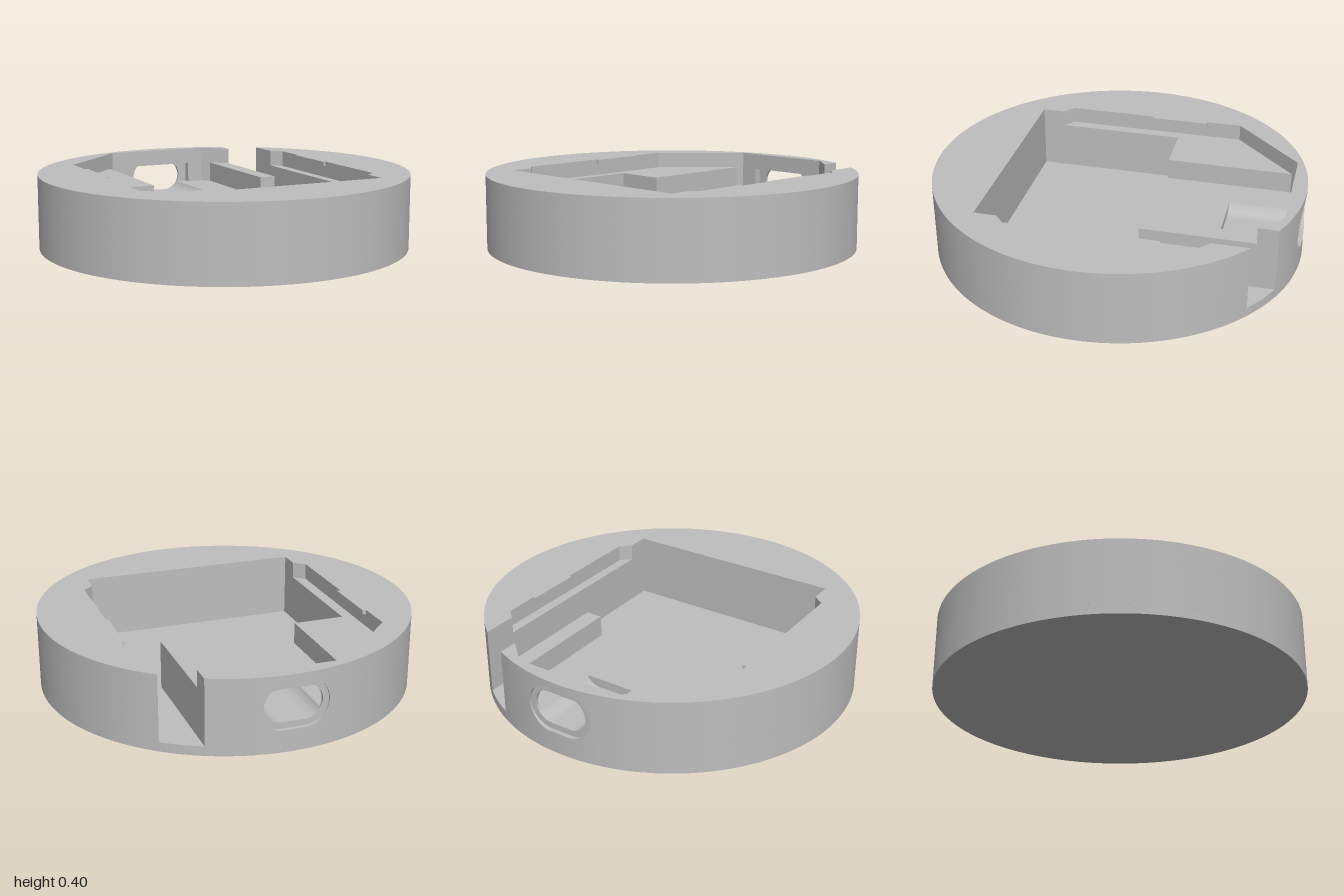
import * as THREE from 'three';
import { toCreasedNormals } from 'three/addons/utils/BufferGeometryUtils.js';

const FLOOR = 0.05, DECK = 0.195, LEDGE = 0.31, TOP = 0.4; // levels in y
const PORT_Y = 0.237, PORT_W = 0.2; // port centre height, half width of the port section
const BACK = -0.92, RECESS = -0.96, BORE = -0.975; // z steps through the back wall

// angle on the rim (seen from above) of a point at x on the back edge
const backAngle = (x) => Math.acos(x);

// rim points between two angles, as [x, z]
function rim(a, b) {
  const n = Math.max(4, Math.ceil(Math.abs(b - a) / 0.045));
  return Array.from({ length: n + 1 }, (_, i) => {
    const t = a + (b - a) * i / n;
    return [Math.cos(t), -Math.sin(t)];
  });
}

// stadium outline of half straight length s and radius r
function stadium(s, r, Type = THREE.Path) {
  const p = new Type();
  p.absarc(s, PORT_Y, r, -Math.PI / 2, Math.PI / 2, false);
  p.absarc(-s, PORT_Y, r, Math.PI / 2, Math.PI * 1.5, false);
  p.closePath();
  return p;
}

export function createModel() {
  const group = new THREE.Group();
  const grey = new THREE.MeshStandardMaterial({ color: 0xbebebe });
  grey.name = 'grey plastic';

  const add = (name, geometry) => {
    const mesh = new THREE.Mesh(geometry, grey);
    mesh.name = name;
    group.add(mesh);
  };

  // horizontal slab from an [x, z] outline
  const slab = (name, points, y0, y1) => {
    const shape = new THREE.Shape(points.map(([x, z]) => new THREE.Vector2(x, -z)));
    const g = new THREE.ExtrudeGeometry(shape, { depth: y1 - y0, bevelEnabled: false });
    g.rotateX(-Math.PI / 2).translate(0, y0, 0);
    add(name, toCreasedNormals(g, 0.5));
  };

  // upright section extruded along z
  const section = (shape, z0, z1) => new THREE.ExtrudeGeometry(shape, {
    depth: z1 - z0, bevelEnabled: false, curveSegments: 20,
  }).translate(0, 0, z0);

  const box = (name, x0, x1, y0, y1, z0, z1) => add(name,
    new THREE.BoxGeometry(x1 - x0, y1 - y0, z1 - z0)
      .translate((x0 + x1) / 2, (y0 + y1) / 2, (z0 + z1) / 2));

  // rim runs: the long way round the front, and the short one beside the channel
  const longRim = rim(backAngle(0.61), backAngle(-PORT_W) - Math.PI * 2);
  const shortRim = rim(backAngle(PORT_W), backAngle(0.42));
  const pocketFront = [[-0.61, -0.2], [-0.61, 0.61], [0.61, 0.61]];

  // floor
  add('floor', new THREE.CylinderGeometry(1, 1, FLOOR, 144).translate(0, FLOOR / 2, 0));

  // lower body with deep pocket, cable channel and deck
  slab('lowerBody', [...longRim, [-PORT_W, -0.58], [PORT_W, -0.58], ...shortRim,
    [0.42, -0.2], ...pocketFront], FLOOR, DECK);

  // middle body with the side rails
  slab('middleBody', [...longRim, [-PORT_W, BACK], [-0.3, BACK], [-0.33, -0.89],
    [-0.33, -0.2], ...pocketFront], DECK, LEDGE);
  slab('channelRail', [...shortRim, [0.42, -0.2], [0.33, -0.2], [0.33, -0.88],
    [0.29, BACK], [PORT_W, BACK]], DECK, LEDGE);

  // upper body around the wide board seat
  slab('upperBody', [...longRim, [-PORT_W, BACK], [-0.3, BACK], [-0.67, -0.55],
    [-0.67, 0.44], [-0.61, 0.49], [-0.61, 0.61], [0.61, 0.61], [0.61, 0.49],
    [0.665, 0.44], [0.665, -0.55], [0.61, -0.6]], LEDGE, TOP);
  slab('channelCorner', [...shortRim, [0.42, -0.8], [0.29, BACK], [PORT_W, BACK]], LEDGE, TOP);

  // snap tabs on both long walls
  box('rightSnapTab', -0.675, -0.65, 0.375, TOP, -0.36, -0.04);
  box('leftSnapTab', 0.65, 0.67, 0.375, TOP, -0.36, -0.04);

  // plug trough sunk into the deck
  const s = 0.06, r = 0.09;
  const a = Math.asin((DECK - PORT_Y) / r);
  const trough = new THREE.Shape();
  trough.moveTo(-PORT_W, FLOOR);
  trough.lineTo(PORT_W, FLOOR);
  trough.lineTo(PORT_W, DECK);
  trough.absarc(s, PORT_Y, r, a, -Math.PI / 2, true);
  trough.absarc(-s, PORT_Y, r, -Math.PI / 2, -Math.PI - a, true);
  trough.lineTo(-PORT_W, DECK);
  add('plugTrough', toCreasedNormals(section(trough, RECESS, -0.58), 0.5));

  // wall above the connector recess
  box('recessLintel', -PORT_W, PORT_W, LEDGE, TOP, RECESS, BACK);

  // wall section with a finely divided top and bottom edge
  const wall = (hole) => {
    const n = 20, pts = [];
    for (let i = 0; i <= n; i++) pts.push(new THREE.Vector2(-PORT_W + 2 * PORT_W * i / n, FLOOR));
    for (let i = n; i >= 0; i--) pts.push(new THREE.Vector2(-PORT_W + 2 * PORT_W * i / n, TOP));
    const shape = new THREE.Shape(pts);
    shape.holes.push(hole);
    return shape;
  };

  // inner port wall, then the outer one with a wider bore, bent to the rim
  add('portWall', toCreasedNormals(section(wall(stadium(s, r)), BORE, RECESS), 0.5));
  const outer = toCreasedNormals(section(wall(stadium(s, 0.122)), -1, BORE), 0.5);
  const pos = outer.attributes.position, nor = outer.attributes.normal;
  for (let i = 0; i < pos.count; i++) {
    if (pos.getZ(i) > -0.99) continue;
    const x = pos.getX(i), z = -Math.sqrt(1 - x * x);
    pos.setZ(i, z);
    if (nor.getZ(i) < -0.9) nor.setXYZ(i, x, 0, z);
  }
  add('portBezel', outer);

  return group;
}
